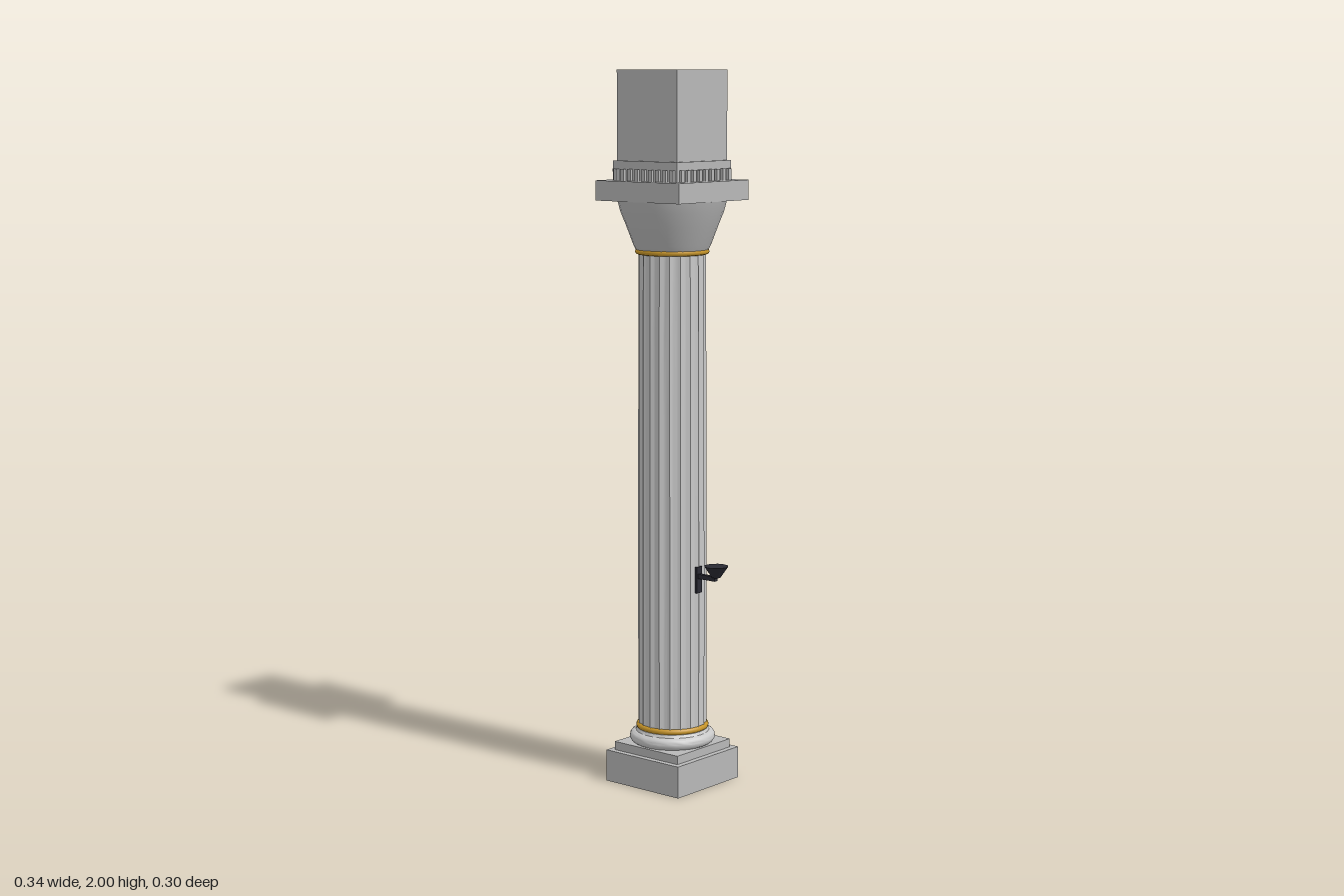
import * as THREE from 'three';
import { toCreasedNormals } from 'three/addons/utils/BufferGeometryUtils.js';

export function createModel() {
  const model = new THREE.Group();
  model.name = 'column';
  const mat = (name, color) => {
    const m = new THREE.MeshStandardMaterial({ color });
    m.name = name;
    return m;
  };
  const stone = mat('stone', 0xb8b8b8);
  const paleStone = mat('paleStone', 0xc8c8c8);
  const gold = mat('gold', 0xc8962a);
  const iron = mat('darkIron', 0x2a2a33);

  const add = (parent, name, geometry, material, x = 0, y = 0, z = 0) => {
    const m = new THREE.Mesh(geometry, material);
    m.name = name;
    m.position.set(x, y, z);
    parent.add(m);
    return m;
  };
  // Box given by its bottom and top heights
  const slab = (parent, name, w, d, y0, y1, material, x = 0, z = 0) =>
    add(parent, name, new THREE.BoxGeometry(w, y1 - y0, d), material, x, (y0 + y1) / 2, z);
  const lathe = (points, sides = 32) =>
    toCreasedNormals(new THREE.LatheGeometry(points.map(p => new THREE.Vector2(...p)), sides), 0.6);

  // The column axis sits left of centre because the lamp sticks out
  const column = new THREE.Group();
  column.name = 'columnBody';
  column.position.x = -0.022;
  model.add(column);

  // Base
  slab(column, 'plinth', 0.266, 0.266, 0, 0.09, stone);
  slab(column, 'plinthStep', 0.232, 0.232, 0.09, 0.114, stone);
  const roll = [[0, 0.114], [0.108, 0.114]];
  for (let i = 0; i <= 8; i++) {
    const a = -Math.PI / 2 + Math.PI * i / 8;
    roll.push([0.104 + 0.017 * Math.cos(a), 0.131 + 0.017 * Math.sin(a)]);
  }
  roll.push([0.1, 0.156], [0, 0.156]);
  add(column, 'baseRoll', lathe(roll), paleStone);

  // Fluted shaft with a slight taper
  const flutes = 20, perFlute = 6;
  const shaft = new THREE.CylinderGeometry(1, 1, 1.35, flutes * perFlute, 6, true);
  const p = shaft.attributes.position;
  for (let i = 0; i < p.count; i++) {
    const a = Math.atan2(p.getX(i), p.getZ(i));
    const t = p.getY(i) / 1.35 + 0.5;
    const r = 0.097 - 0.004 * t * t - 0.005 * Math.abs(Math.sin(a * flutes / 2));
    p.setX(i, r * Math.sin(a));
    p.setZ(i, r * Math.cos(a));
  }
  add(column, 'flutedShaft', toCreasedNormals(shaft, 0.5), paleStone, 0, 0.83, 0);

  // Gilded rings
  for (const [name, y] of [['lowerGoldRing', 0.163], ['upperGoldRing', 1.505]]) {
    const ring = new THREE.TorusGeometry(0.095, 0.008, 8, 40);
    ring.rotateX(Math.PI / 2);
    add(column, name, ring, gold, 0, y, 0);
  }

  // Capital
  add(column, 'capitalBell', lathe([
    [0, 1.505], [0.098, 1.505], [0.108, 1.525], [0.128, 1.578], [0.143, 1.615], [0.151, 1.645], [0, 1.645],
  ]), stone);
  slab(column, 'abacus', 0.298, 0.298, 1.645, 1.7, stone);
  slab(column, 'dentilBand', 0.23, 0.23, 1.7, 1.754, stone);
  slab(column, 'topBlock', 0.214, 0.214, 1.754, 2, stone);

  // Dentils on all four sides
  for (let side = 0; side < 4; side++) {
    const row = new THREE.Group();
    row.name = 'dentilRow';
    row.rotation.y = side * Math.PI / 2;
    column.add(row);
    for (let i = -4; i <= 4; i++)
      slab(row, 'dentil', 0.013, 0.009, 1.7, 1.732, stone, i * 0.025, 0.119);
  }

  // Wall lamp
  const lamp = new THREE.Group();
  lamp.name = 'lamp';
  model.add(lamp);
  slab(lamp, 'lampBackPlate', 0.008, 0.022, 0.556, 0.63, iron, 0.073);
  slab(lamp, 'lampArm', 0.066, 0.013, 0.597, 0.61, iron, 0.104);
  const bowl = new THREE.CylinderGeometry(0.034, 0.012, 0.032, 12).toNonIndexed();
  bowl.computeVertexNormals();
  add(lamp, 'lampBowl', bowl, iron, 0.137, 0.624, 0);

  return model;
}
